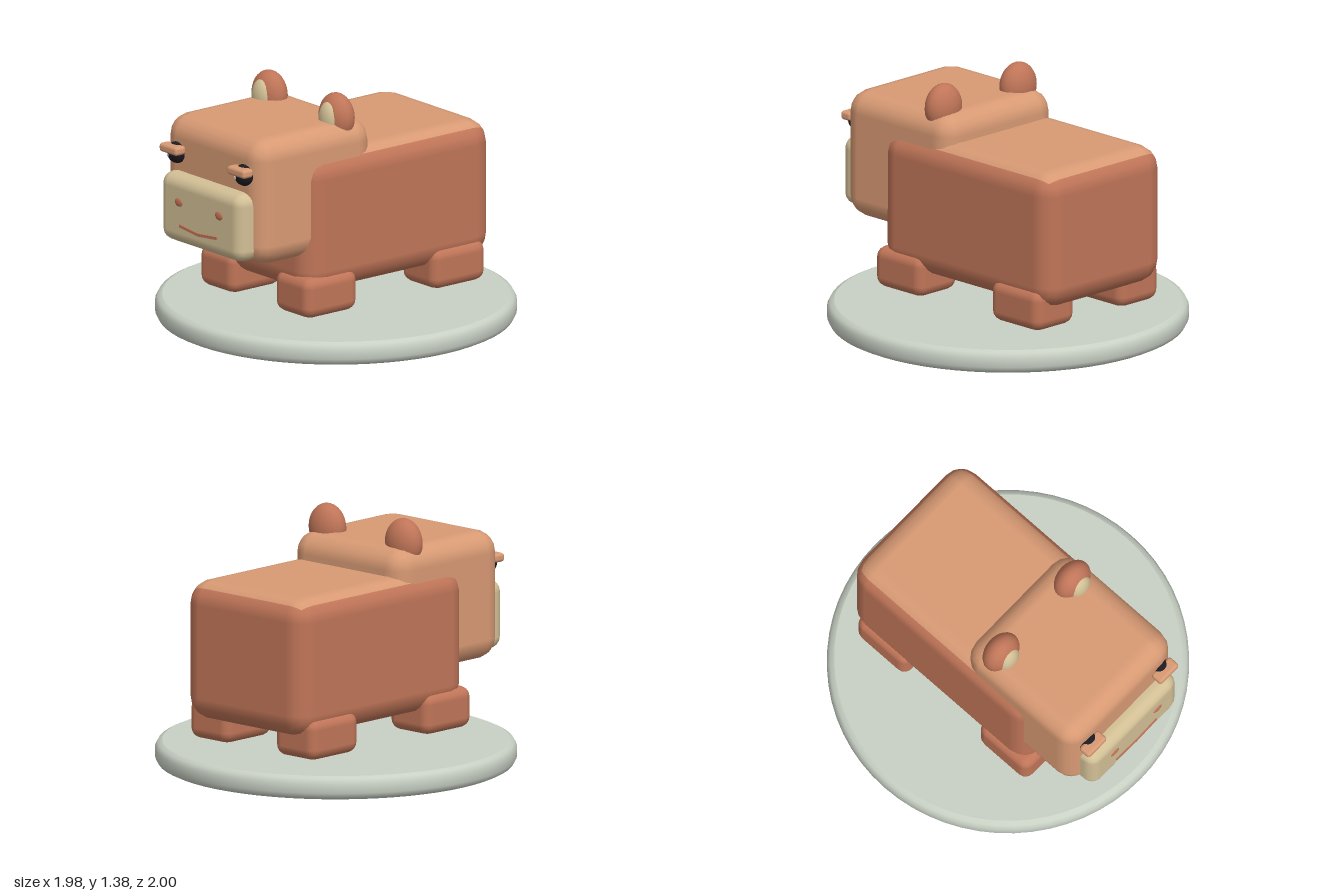
import * as THREE from 'three';
import { RoundedBoxGeometry } from 'three/addons/geometries/RoundedBoxGeometry.js';

const paint = (name, color) => {
  const m = new THREE.MeshStandardMaterial({ color });
  m.name = name;
  return m;
};

export function createModel() {
  const brown = paint('brown fur', 0xc07558);
  const tan = paint('tan fur', 0xd89a74);
  const cream = paint('cream', 0xd3c096);
  const black = paint('eye black', 0x1c1a22);
  const white = paint('eye glint', 0xe6dfd0);
  const stone = paint('pale stone', 0xc8d0c4);

  const model = new THREE.Group();
  const animal = new THREE.Group();
  animal.name = 'animal';
  animal.position.x = -0.015;
  animal.rotation.y = -0.29;
  model.add(animal);

  const add = (name, geometry, material, x, y, z) => {
    const mesh = new THREE.Mesh(geometry, material);
    mesh.name = name;
    mesh.position.set(x, y, z);
    animal.add(mesh);
    return mesh;
  };
  // Rounded block given by its limits on each axis
  const block = (name, material, [x0, x1], [y0, y1], [z0, z1], r) =>
    add(name, new RoundedBoxGeometry(x1 - x0, y1 - y0, z1 - z0, 2, r), material,
      (x0 + x1) / 2, (y0 + y1) / 2, (z0 + z1) / 2);
  // Ellipsoid given by its centre and radii
  const egg = (name, material, x, y, z, rx, ry, rz) =>
    add(name, new THREE.SphereGeometry(1, 24, 16).scale(rx, ry, rz), material, x, y, z);

  // Round base
  const base = new THREE.Mesh(new THREE.LatheGeometry([
    [0, 0], [0.95, 0], [0.95, 0], [0.975, 0.012], [0.99, 0.04], [0.99, 0.09],
    [0.975, 0.118], [0.95, 0.13], [0.95, 0.13], [0, 0.13],
  ].map(([x, y]) => new THREE.Vector2(x, y)), 64), stone);
  base.name = 'base';
  base.position.z = -0.01;
  model.add(base);

  // Body with a lighter back
  block('body', [brown, brown, tan, brown, brown, brown],
    [-0.455, 0.455], [0.3, 1.08], [-0.78, 0.55], 0.13);
  // Head and muzzle
  block('head', tan, [-0.422, 0.422], [0.51, 1.23], [0.04, 0.865], 0.12);
  block('muzzle', cream, [-0.35, 0.35], [0.54, 0.93], [0.78, 0.95], 0.07);

  for (const s of [-1, 1]) {
    // Feet
    const span = s > 0 ? [0.17, 0.475] : [-0.475, -0.17];
    block('frontFoot', brown, span, [0.18, 0.41], [0.2, 0.57], 0.06);
    block('backFoot', brown, span, [0.18, 0.41], [-0.71, -0.33], 0.06);

    // Ears
    egg('ear', brown, s * 0.287, 1.24, 0.21, 0.118, 0.135, 0.085);
    egg('innerEar', cream, s * 0.287, 1.235, 0.26, 0.072, 0.1, 0.052);

    // Eyes and brows
    egg('eye', black, s * 0.288, 1.03, 0.87, 0.065, 0.06, 0.045);
    egg('eyeGlint', white, s * 0.288 - 0.025, 1.017, 0.908, 0.011, 0.011, 0.006);
    block('brow', tan, [s * 0.29 - 0.075, s * 0.29 + 0.075], [1.03, 1.08], [0.86, 0.935], 0.018);

    // Nostrils and mouth
    egg('nostril', brown, s * 0.172, 0.785, 0.95, 0.032, 0.024, 0.008);
    const lip = add('mouth', new THREE.BoxGeometry(0.162, 0.016, 0.012), brown, s * 0.08, 0.646, 0.951);
    lip.rotation.z = s * 0.1;
  }
  return model;
}
